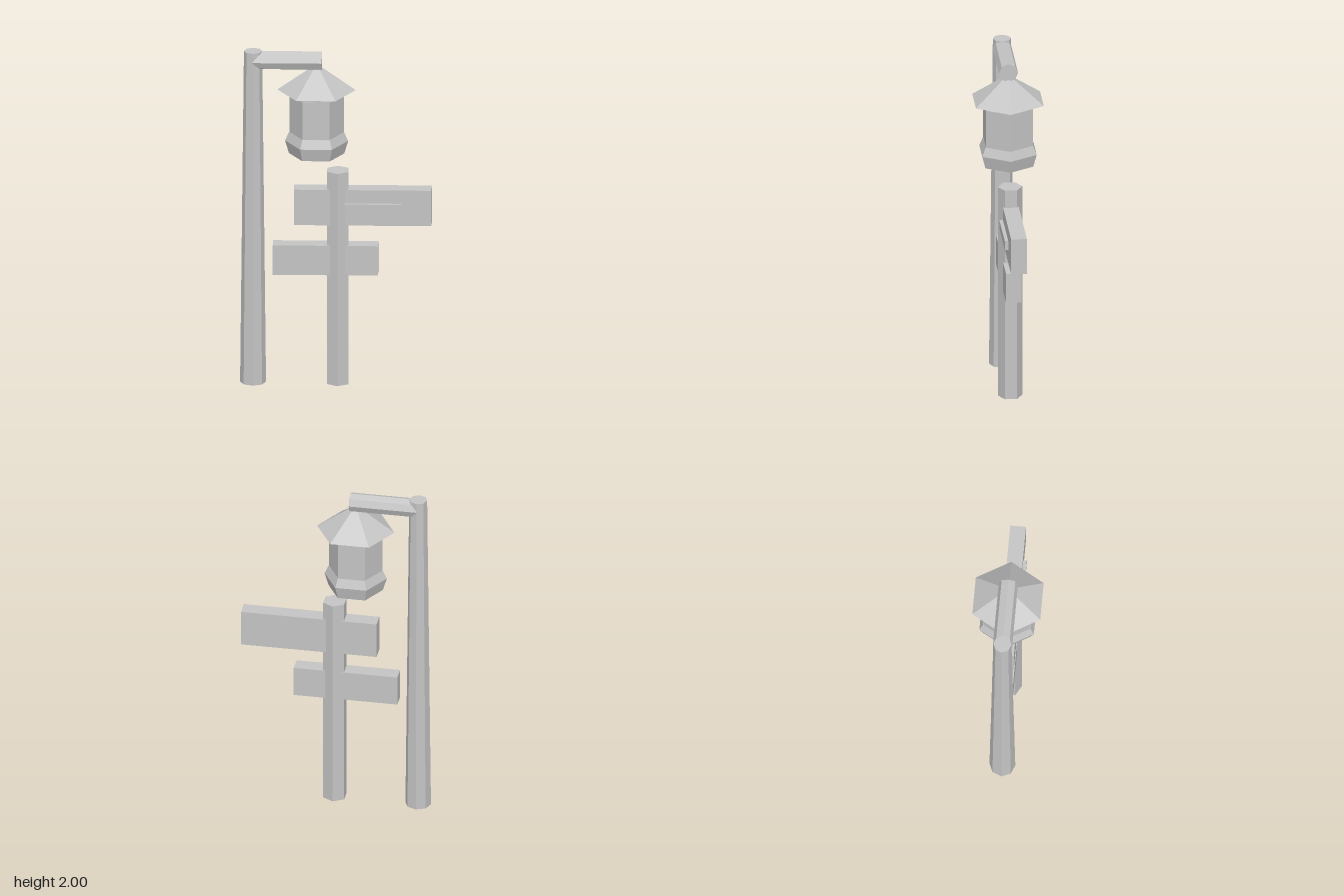
import * as THREE from 'three';

export function createModel() {
  const root = new THREE.Group();
  root.name = 'lanternSignpost';

  const grey = new THREE.MeshStandardMaterial({ color: 0xc4c4c4 });
  grey.name = 'grey';
  grey.flatShading = true;

  const add = (name, geometry, x, y, z = 0, parent = root) => {
    const mesh = new THREE.Mesh(geometry, grey);
    mesh.name = name;
    mesh.position.set(x, y, z);
    parent.add(mesh);
    return mesh;
  };
  // Board given by its left, right, bottom, top, back and front limits
  const board = (name, x0, x1, y0, y1, z0, z1) =>
    add(name, new THREE.BoxGeometry(x1 - x0, y1 - y0, z1 - z0),
      (x0 + x1) / 2, (y0 + y1) / 2, (z0 + z1) / 2);

  // Tall tapered lamp post with its horizontal arm
  add('lampPost', new THREE.CylinderGeometry(0.052, 0.074, 2, 8), -0.473, 1);
  const arm = add('lampArm', new THREE.CylinderGeometry(0.055, 0.055, 0.393, 8), -0.277, 1.945);
  arm.rotation.z = -Math.PI / 2;

  // Six-sided lantern, corners pointing along x
  const lantern = new THREE.Group();
  lantern.name = 'lantern';
  lantern.position.x = -0.111;
  root.add(lantern);
  const hexLathe = (name, profile) => add(name, new THREE.LatheGeometry(
    profile.map(([r, y]) => new THREE.Vector2(r, y)), 6, Math.PI / 2), 0, 0, 0, lantern);
  hexLathe('lanternRoof', [[0, 1.752], [0.165, 1.752], [0.224, 1.768], [0, 1.925]]);
  hexLathe('lanternCollar', [[0.148, 1.73], [0.148, 1.756]]);
  hexLathe('lanternBody', [[0, 1.5], [0.155, 1.5], [0.155, 1.738], [0, 1.738]]);
  hexLathe('lanternBase', [[0, 1.384], [0.158, 1.384], [0.18, 1.46], [0.157, 1.511], [0, 1.511]]);

  // Short signpost with two boards and a raised strip
  add('signPost', new THREE.CylinderGeometry(0.07, 0.07, 1.284, 6), 0.01, 0.642);
  board('upperSign', -0.24, 0.545, 0.964, 1.178, -0.045, 0.045);
  board('lowerSign', -0.36, 0.24, 0.662, 0.84, -0.043, 0.045);
  board('signStrip', 0.05, 0.371, 1.044, 1.098, 0.04, 0.065);

  return root;
}
